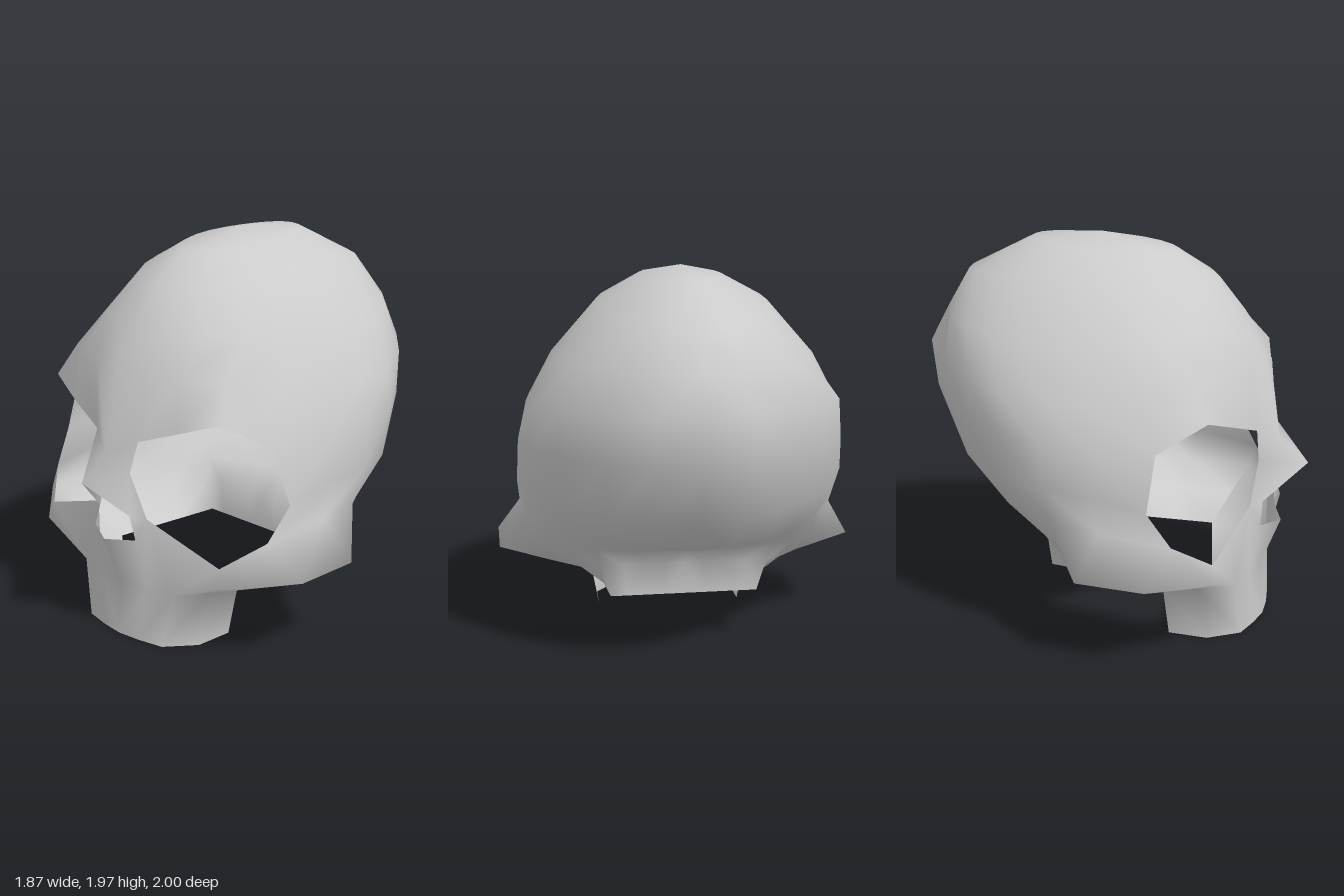
import * as THREE from 'three';

// Landmarks on the left half (+x); every part is mirrored.
const browMid = [0, 0.98, 0.85], jawHinge = [0.44, 0.28, 0.38];
const eye = {
  inTop: [0.15, 1.05, 0.77], outTop: [0.6, 1.21, 0.65], temple: [0.72, 1.07, 0.43], out: [0.82, 0.81, 0.42],
  outLow: [0.78, 0.64, 0.53], low: [0.62, 0.51, 0.69], inLow: [0.18, 0.655, 0.75], inner: [0.08, 0.87, 0.765],
};
const nose = { tip: [0, 0.86, 1], side: [0.11, 0.665, 0.8], corner: [0.15, 0.55, 0.8], spine: [0, 0.535, 0.87] };
const cheek = { back: [0.935, 0.46, 0.1], front: [0.935, 0.46, 0.45], mid: [0.645, 0.42, 0.71], inner: [0.33, 0.285, 0.72] };
const jawTop = [[0, 0.28, 0.77], [0.17, 0.28, 0.755], cheek.inner, [0.42, 0.28, 0.56], jawHinge];
const jawBottom = [[0, 0, 0.79], [0.13, 0, 0.775], [0.27, 0, 0.745], [0.385, 0, 0.6], [0.39, 0, 0.4]];

// Half ring of the upper dome, front centre to back centre.
const domeRing = (yFront, zFront, yBack, zBack, width, ySide) =>
  Array.from({ length: 12 }, (_, k) => {
    const t = (k * Math.PI) / 11, c = Math.cos(t), zMid = -0.13;
    const yEnd = c > 0 ? yFront : yBack, zEnd = c > 0 ? zFront : zBack;
    return [width * Math.sin(t), ySide + (yEnd - ySide) * c * c, zMid + (zEnd - zMid) * Math.abs(c)];
  });

// Half rings below the dome, front centre to back centre.
const forehead = [
  [0, 1.4, 0.76], [0.17, 1.4, 0.74], [0.36, 1.39, 0.69], [0.53, 1.37, 0.57], [0.67, 1.27, 0.37], [0.76, 1.29, 0.1],
  [0.785, 1.3, -0.12], [0.77, 1.31, -0.34], [0.65, 1.34, -0.57], [0.47, 1.36, -0.77], [0.23, 1.38, -0.96], [0, 1.38, -1],
];
const brow = [
  browMid, eye.inTop, [0.375, 1.13, 0.72], eye.outTop, eye.temple, [0.81, 1.08, 0.12],
  [0.83, 1.1, -0.12], [0.78, 1.11, -0.35], [0.65, 1.12, -0.56], [0.46, 1.13, -0.76], [0.23, 1.14, -0.93], [0, 1.14, -0.98],
];
// Half rings from the outer eye rim to the back centre.
const temple = [
  eye.out, [0.83, 0.86, 0.14], [0.84, 0.88, -0.1], [0.75, 0.86, -0.34],
  [0.6, 0.85, -0.53], [0.41, 0.84, -0.69], [0.2, 0.84, -0.81], [0, 0.84, -0.84],
];
const ear = [
  eye.outLow, [0.82, 0.68, 0.18], [0.79, 0.69, -0.07], [0.66, 0.67, -0.28],
  [0.52, 0.65, -0.42], [0.35, 0.64, -0.54], [0.18, 0.64, -0.61], [0, 0.64, -0.64],
];
const cheekLine = [
  cheek.front, cheek.back, [0.72, 0.52, -0.06], [0.58, 0.53, -0.2],
  [0.45, 0.55, -0.29], [0.31, 0.56, -0.35], [0.16, 0.57, -0.38], [0, 0.57, -0.38],
];
const neck = [
  [0.6875, 0.37, 0.415], [0.67, 0.37, 0.12], [0.53, 0.4, -0.08], [0.43, 0.44, -0.24],
  [0.32, 0.45, -0.25], [0.21, 0.45, -0.25], [0.1, 0.45, -0.25], [0, 0.45, -0.25],
];
const baseRim = [
  jawHinge, [0.42, 0.28, 0.17], [0.4, 0.28, -0.03], [0.38, 0.28, -0.24],
  [0.29, 0.28, -0.24], [0.19, 0.28, -0.24], [0.1, 0.28, -0.24], [0, 0.28, -0.24],
];

// Each part is a stack of rows, top to bottom, each running from front centre outward.
const parts = {
  cranium: [
    Array(12).fill([0, 1.965, -0.1]),
    domeRing(1.89, 0.31, 1.93, -0.46, 0.21, 1.915),
    domeRing(1.75, 0.51, 1.75, -0.81, 0.42, 1.8),
    domeRing(1.58, 0.635, 1.57, -0.905, 0.655, 1.53),
    forehead, brow,
  ],
  skullSidesAndBase: [brow.slice(4), temple, ear, cheekLine, neck, baseRim],
  noseBridge: [[browMid, eye.inTop], [nose.tip, eye.inner], [nose.side, eye.inLow], [nose.corner, eye.inLow]],
  cheekbones: [
    [nose.spine, nose.corner, eye.inLow, eye.low, eye.outLow],
    [jawTop[0], jawTop[1], cheek.inner, cheek.mid, cheek.front],
  ],
  cheekUndersides: [[cheek.inner, cheek.mid, cheek.front], [cheek.inner, jawTop[3], jawHinge]],
  upperJaw: [jawTop, jawBottom],
};

// Stitches rows into triangles on both sides of the skull.
function stitch(rows) {
  const out = [];
  const same = (p, q) => p.every((v, i) => Math.abs(v - q[i]) < 1e-6);
  const flip = ([x, y, z]) => [-x, y, z];
  const tri = (a, b, c) => {
    if (same(a, b) || same(b, c) || same(a, c)) return;
    out.push(...a, ...b, ...c, ...flip(a), ...flip(c), ...flip(b));
  };
  for (let r = 0; r + 1 < rows.length; r++) {
    const a = rows[r], b = rows[r + 1];
    for (let k = 0; k + 1 < a.length; k++) {
      tri(a[k], b[k], a[k + 1]);
      tri(a[k + 1], b[k], b[k + 1]);
    }
  }
  const geometry = new THREE.BufferGeometry();
  geometry.setAttribute('position', new THREE.Float32BufferAttribute(out, 3));
  geometry.computeVertexNormals();
  return geometry;
}

// Averages normals by position so shading flows across the part seams.
function smoothTogether(geometries) {
  const sums = new Map(), p = new THREE.Vector3(), n = new THREE.Vector3();
  const each = (fn) => geometries.forEach((g) => {
    const { position, normal } = g.attributes;
    for (let i = 0; i < position.count; i++) {
      p.fromBufferAttribute(position, i);
      fn(p.toArray().map((v) => Math.round(v * 1000)).join(), normal, i);
    }
  });
  each((key, normal, i) => {
    if (!sums.has(key)) sums.set(key, new THREE.Vector3());
    sums.get(key).add(n.fromBufferAttribute(normal, i));
  });
  each((key, normal, i) => {
    n.copy(sums.get(key)).normalize();
    normal.setXYZ(i, n.x, n.y, n.z);
  });
}

export function createModel() {
  const group = new THREE.Group();
  group.name = 'skull';
  const bone = new THREE.MeshStandardMaterial({ color: 0xcccccc, side: THREE.DoubleSide });
  for (const [name, rows] of Object.entries(parts)) {
    const mesh = new THREE.Mesh(stitch(rows), bone);
    mesh.name = name;
    group.add(mesh);
  }
  smoothTogether(group.children.map((m) => m.geometry));
  return group;
}
